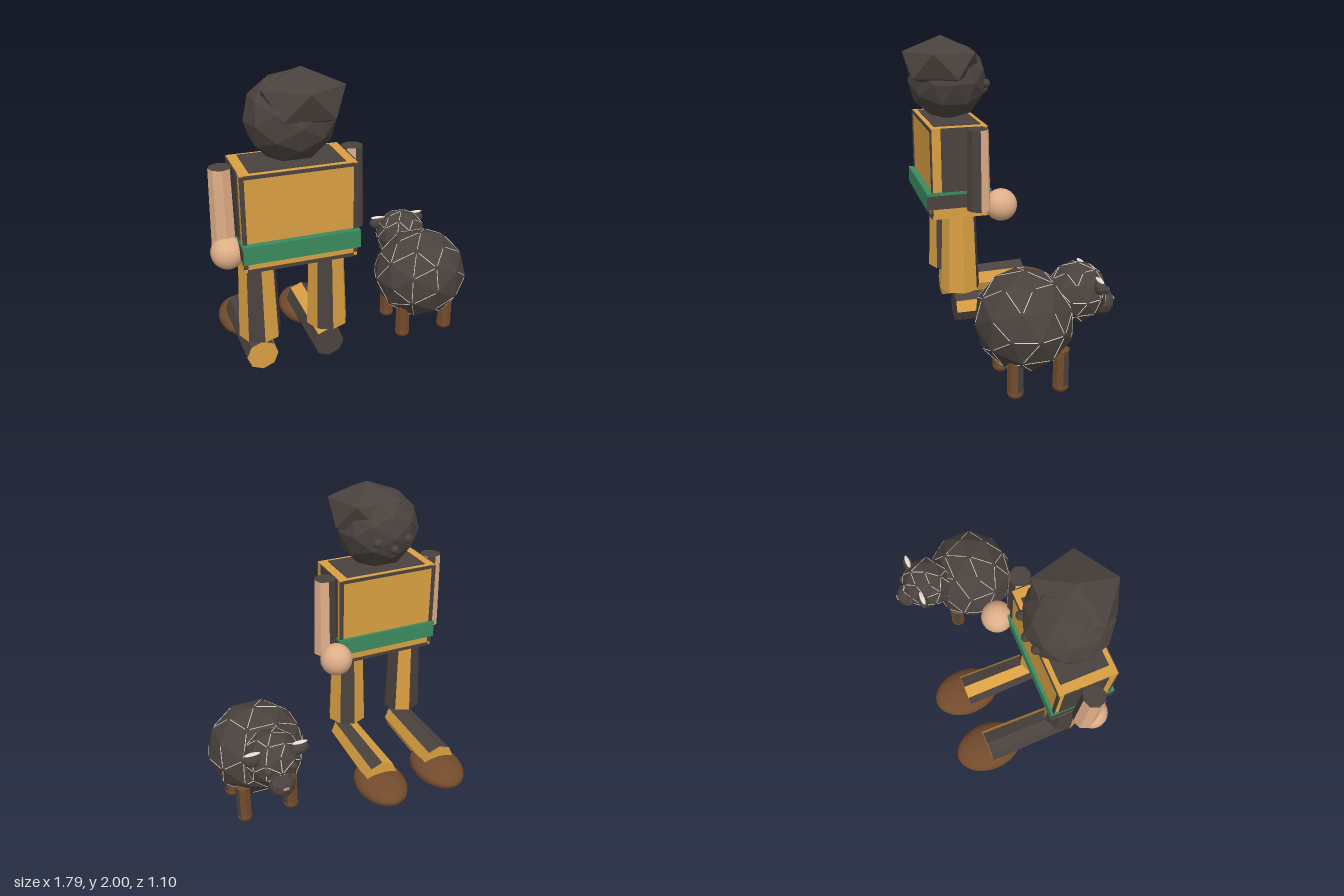
import * as THREE from 'three';
import { mergeGeometries } from 'three/addons/utils/BufferGeometryUtils.js';

export function createModel() {
  const model = new THREE.Group();
  model.name = 'kneelingShepherdAndSheep';

  const mat = (name, color) => {
    const m = new THREE.MeshStandardMaterial({ color });
    m.name = name;
    return m;
  };
  const dark = mat('charcoal', 0x4a423e);
  const gold = mat('ochre cloth', 0xd99f42);
  const green = mat('green sash', 0x3a8a5e);
  const skin = mat('skin', 0xdfae88);
  const brown = mat('brown leather', 0x734b2d);
  const cream = mat('cream wool', 0xe4ddcf);
  const pink = mat('pink nose', 0xc98a92);

  const add = (parent, name, geo, material, x = 0, y = 0, z = 0) => {
    const mesh = new THREE.Mesh(geo, material);
    mesh.name = name;
    mesh.position.set(x, y, z);
    parent.add(mesh);
    return mesh;
  };
  const group = (name) => {
    const g = new THREE.Group();
    g.name = name;
    model.add(g);
    return g;
  };
  const box = (w, h, d) => new THREE.BoxGeometry(w, h, d);
  const ball = (rx, ry = rx, rz = rx) => new THREE.SphereGeometry(1, 28, 18).scale(rx, ry, rz);
  const faceted = (rx, ry, rz, detail = 1) => {
    const g = new THREE.IcosahedronGeometry(1, detail).scale(rx, ry, rz);
    g.computeVertexNormals();
    return g;
  };

  // Faceted prism: one pattern digit per side, then one each for the top and bottom caps
  const prism = (rTop, rBottom, length, pattern) => {
    const n = pattern.length - 2;
    const g = new THREE.CylinderGeometry(rTop, rBottom, length, n).toNonIndexed();
    g.computeVertexNormals();
    g.clearGroups();
    for (let i = 0; i < n; i++) g.addGroup(i * 6, 6, +pattern[i]);
    g.addGroup(n * 6, n * 3, +pattern[n]);
    g.addGroup(n * 9, n * 3, +pattern[n + 1]);
    return g;
  };

  // Thin wool seams along alternating edges of a faceted ball
  const seams = (geo) => {
    const p = new THREE.EdgesGeometry(geo, 1).attributes.position;
    const up = new THREE.Vector3(0, 1, 0);
    const parts = [];
    for (let i = 0; i < p.count; i += 4) {
      const a = new THREE.Vector3().fromBufferAttribute(p, i);
      const b = new THREE.Vector3().fromBufferAttribute(p, i + 1);
      const d = b.clone().sub(a);
      const g = new THREE.CylinderGeometry(0.003, 0.003, d.length() * 0.8, 4);
      g.applyQuaternion(new THREE.Quaternion().setFromUnitVectors(up, d.normalize()));
      const mid = a.add(b).multiplyScalar(0.5);
      parts.push(g.translate(mid.x, mid.y, mid.z));
    }
    return mergeGeometries(parts);
  };

  // Torso with dark side panels and a green sash
  const body = group('torso');
  const cx = -0.39;
  add(body, 'tunic', box(0.68, 0.59, 0.36), gold, cx, 1.165, 0.25);
  for (const s of [-1, 1]) {
    add(body, 'tunicSidePanel', box(0.009, 0.51, 0.27), dark, cx + s * 0.343, 1.205, 0.235);
    for (const z of [0.068, 0.432])
      add(body, 'tunicEdge', box(0.025, 0.56, 0.009), dark, cx + s * 0.33, 1.175, z);
  }
  add(body, 'collarEdge', box(0.56, 0.009, 0.3), dark, cx, 1.461, 0.25);
  for (const y of [1.448, 0.878])
    for (const z of [0.068, 0.432]) add(body, 'tunicHem', box(0.64, 0.02, 0.009), dark, cx, y, z);
  add(body, 'sash', box(0.7, 0.09, 0.42), [dark, dark, green, dark, green, green], cx, 0.985, 0.26);
  add(body, 'sashTopFold', box(0.7, 0.02, 0.42), green, cx, 1.04, 0.26);

  // Head, with the face towards the back (-z), and a tall cap of hair
  const head = group('head');
  add(head, 'skull', faceted(0.268, 0.26, 0.26), dark, cx, 1.71, 0.25);
  const hair = new THREE.IcosahedronGeometry(1, 0)
    .rotateZ(Math.atan(2 / (1 + Math.sqrt(5))))
    .rotateY(0.25)
    .scale(0.275, 0.175, 0.275);
  hair.computeVertexNormals();
  add(head, 'hair', hair, dark, -0.335, 1.825, 0.3);
  for (const x of [-0.49, -0.28]) add(head, 'eye', faceted(0.03, 0.03, 0.03), dark, x, 1.69, 0.02);
  add(head, 'nose', faceted(0.03, 0.03, 0.035), dark, cx, 1.64, 0.01);

  // Arms and hands
  const arms = group('arms');
  const cloth = [skin, dark];
  add(arms, 'rightArm', prism(0.068, 0.077, 0.52, '0101000011'), cloth, -0.8, 1.2, 0.25);
  add(arms, 'leftArm', prism(0.068, 0.077, 0.52, '1100101011'), cloth, 0.02, 1.2, 0.15);
  add(arms, 'rightHand', ball(0.1), skin, -0.795, 0.955, 0.3);
  add(arms, 'leftHand', ball(0.104), skin, 0.008, 0.955, 0.0);

  // Thighs, shins lying along the ground and rounded shoes
  const legs = group('legs');
  const trouser = [gold, dark];
  const sides = [
    { n: 'right', x: -0.615, thigh: '0110110111', shin: '1001001100' },
    { n: 'left', x: -0.178, thigh: '0001010111', shin: '1010011001' },
  ];
  for (const s of sides) {
    add(legs, s.n + 'Thigh', prism(0.112, 0.132, 0.53, s.thigh), trouser, s.x, 0.6, 0.235);
    const shin = prism(0.112, 0.1, 0.61, s.shin);
    shin.rotateX(-Math.PI / 2);
    // the front cap is the prism's bottom
    shin.groups[9].materialIndex = s.n === 'right' ? 0 : 1;
    add(legs, s.n + 'Shin', shin, trouser, s.x, 0.185, -0.025);
    add(legs, s.n + 'Shoe', ball(0.166, 0.088, 0.235), brown, s.x + 0.005, 0.125, -0.318);
  }

  // Sheep
  const sheep = group('sheep');
  const sx = 0.572;
  const woolBall = (name, geo, x, y, z) => {
    add(sheep, name, geo, dark, x, y, z);
    add(sheep, name + 'Seams', seams(geo), cream, x, y, z);
  };
  woolBall('sheepBody', faceted(0.32, 0.305, 0.3), sx, 0.425, 0.02);
  woolBall('sheepHead', faceted(0.18, 0.185, 0.18), sx, 0.56, -0.31);
  add(sheep, 'snout', faceted(0.085, 0.085, 0.08), dark, sx, 0.475, -0.468);
  add(sheep, 'noseTip', box(0.035, 0.012, 0.009), pink, sx, 0.49, -0.546);
  for (const s of [-1, 1]) {
    add(sheep, 'ear', faceted(0.06, 0.045, 0.035), dark, sx + s * 0.15, 0.64, -0.39);
    add(sheep, 'earTuft', ball(0.05, 0.008, 0.016), cream, sx + s * 0.15, 0.682, -0.39);
    add(sheep, 'sheepEye', faceted(0.025, 0.025, 0.025), dark, sx + s * 0.08, 0.58, -0.465);
    for (const z of [0.12, -0.16]) {
      const leg = prism(0.05, 0.05, 0.24, '0010010000');
      add(sheep, 'sheepLeg', leg, [brown, dark], sx + s * 0.16, 0.16, z);
      add(sheep, 'hoof', ball(0.05, 0.04, 0.05), brown, sx + s * 0.16, 0.042, z);
    }
  }
  return model;
}
